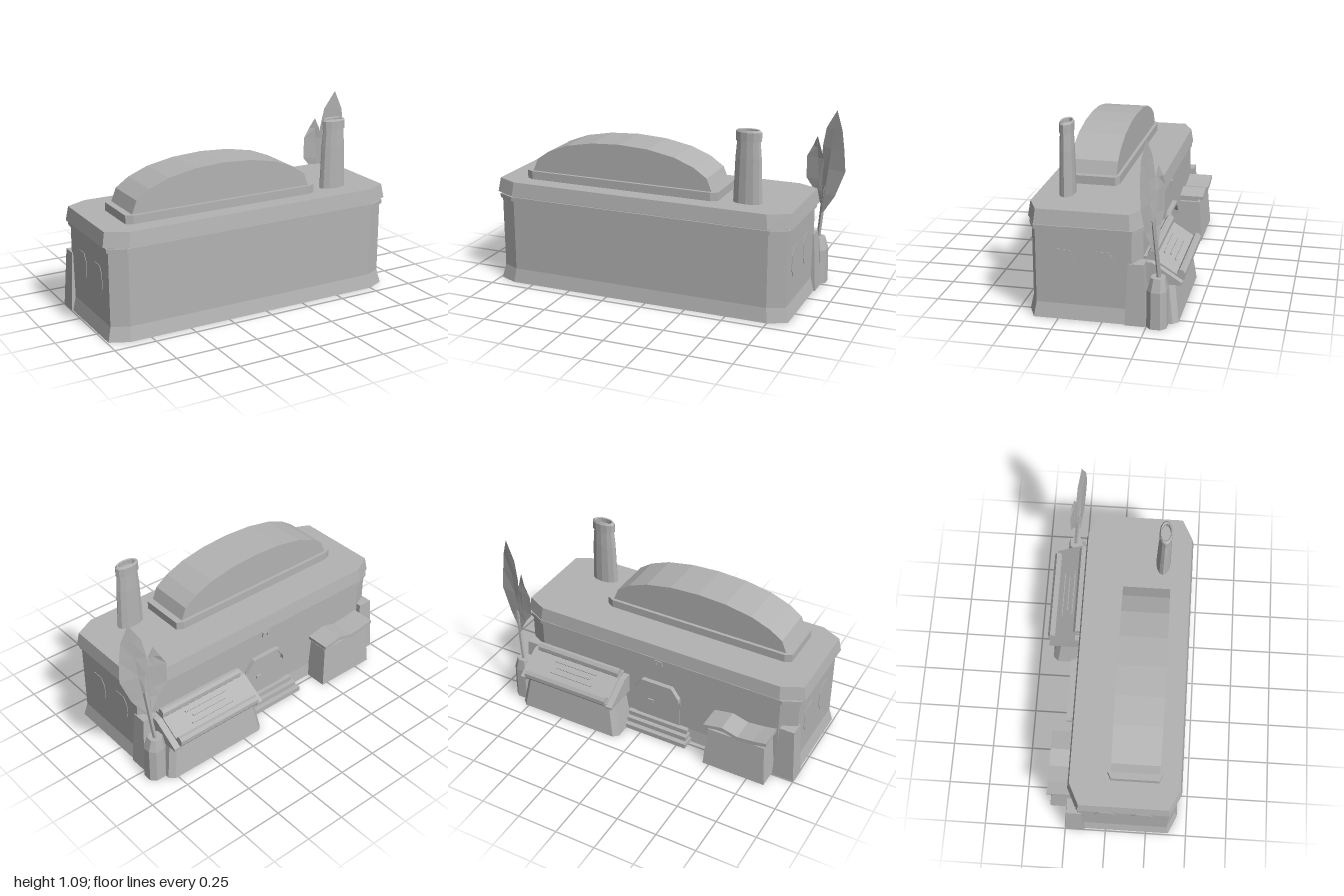
import * as THREE from 'three';

const stone = new THREE.MeshStandardMaterial({ color: 0xb3b3b3, side: THREE.DoubleSide });
stone.name = 'plain grey';

export function createModel() {
  const root = new THREE.Group();
  const add = (name, geometry, parent = root) => {
    const flat = geometry.index ? geometry.toNonIndexed() : geometry;
    flat.computeVertexNormals();
    const mesh = new THREE.Mesh(flat, stone);
    mesh.name = name;
    parent.add(mesh);
    return mesh;
  };
  const group = (name) => {
    const g = new THREE.Group();
    g.name = name;
    root.add(g);
    return g;
  };

  // Horizontal ring with optional cut corners, counter-clockwise from above
  const ring = (x0, x1, y, z0, z1, cx = 0, cz = 0) => {
    const pts = cx
      ? [[x1, z1 - cz], [x1, z0 + cz], [x1 - cx, z0], [x0 + cx, z0],
         [x0, z0 + cz], [x0, z1 - cz], [x0 + cx, z1], [x1 - cx, z1]]
      : [[x1, z1], [x1, z0], [x0, z0], [x0, z1]];
    return pts.map(([x, z]) => [x, y, z]);
  };

  // Skin a stack of rings
  const loft = (rings, capBottom = true, capTop = true) => {
    const v = [];
    const n = rings[0].length;
    for (let r = 0; r < rings.length - 1; r++) {
      for (let i = 0; i < n; i++) {
        const j = (i + 1) % n;
        const a = rings[r][i], b = rings[r][j], c = rings[r + 1][j], d = rings[r + 1][i];
        v.push(...a, ...b, ...c, ...a, ...c, ...d);
      }
    }
    const top = rings[rings.length - 1], bottom = rings[0];
    for (let i = 1; i < n - 1; i++) {
      if (capTop) v.push(...top[0], ...top[i], ...top[i + 1]);
      if (capBottom) v.push(...bottom[0], ...bottom[i + 1], ...bottom[i]);
    }
    const g = new THREE.BufferGeometry();
    g.setAttribute('position', new THREE.Float32BufferAttribute(v, 3));
    return g;
  };

  // Prisms: outline in (x, y) pushed along z, or in (z, y) pushed along x
  const prismZ = (pts, z0, z1) => {
    const shape = new THREE.Shape(pts.map(([x, y]) => new THREE.Vector2(x, y)));
    return new THREE.ExtrudeGeometry(shape, { depth: z1 - z0, bevelEnabled: false }).translate(0, 0, z0);
  };
  const prismX = (pts, x0, x1) =>
    prismZ(pts.map(([z, y]) => [-z, y]), x0, x1).rotateY(Math.PI / 2);
  const box = (x0, x1, y0, y1, z0, z1) =>
    new THREE.BoxGeometry(x1 - x0, y1 - y0, z1 - z0)
      .translate((x0 + x1) / 2, (y0 + y1) / 2, (z0 + z1) / 2);

  // Main body: flared foot open below, raised floor, walls, trim and roof slab
  add('foot', loft([
    ring(-0.99, 0.86, 0, -0.22, 0.44, 0.11, 0.05),
    ring(-0.97, 0.84, 0.085, -0.21, 0.423, 0.1, 0.046),
  ], false, false));
  add('walls', loft([
    ring(-0.97, 0.84, 0.085, -0.21, 0.423, 0.1, 0.046),
    ring(-0.97, 0.84, 0.56, -0.21, 0.423, 0.1, 0.046),
  ]));
  add('wallTrim', loft([0.52, 0.545].map((y) => ring(-0.982, 0.852, y, -0.218, 0.432, 0.1, 0.048))));
  add('roof', loft([
    ring(-1, 0.87, 0.555, -0.226, 0.443, 0.13, 0.066),
    ring(-0.985, 0.855, 0.64, -0.214, 0.43, 0.125, 0.062),
  ]));

  // Arched skylight on its plinth
  add('domePlinth', loft([0.63, 0.69].map((y) => ring(-0.83, 0.4, y, 0.005, 0.325, 0.04, 0.02))));
  const half = [[0.575, 0.69], [0.545, 0.765], [0.465, 0.82], [0.345, 0.867], [0.18, 0.898], [0, 0.908]];
  const arch = [...half, ...half.slice(0, -1).reverse().map(([x, y]) => [-x, y])];
  add('dome', prismZ(arch.map(([x, y]) => [x - 0.215, y]), 0.024, 0.306));

  // Oval chimney with a collar and hollow top
  const chimney = new THREE.LatheGeometry([
    [0.088, 0.63], [0.078, 0.9], [0.069, 1.0], [0.077, 1.0], [0.077, 1.052],
    [0.064, 1.064], [0.055, 1.06], [0.055, 1.03], [0, 1.03],
  ].map(([x, y]) => new THREE.Vector2(x, y)), 12);
  add('chimney', chimney.scale(1, 1, 0.51).translate(0.563, 0, 0.26));

  // Cut-corner windows on both end walls
  for (const [x0, x1] of [[0.838, 0.843], [-0.973, -0.968]]) {
    for (const z of [0.22, -0.003]) {
      const outline = [[0.064, 0.045], [0.064, -0.045], [0.035, -0.09], [-0.035, -0.09],
        [-0.064, -0.045], [-0.064, 0.045], [-0.035, 0.09], [0.035, 0.09]];
      add('endWindow', prismX(outline.map(([a, b]) => [z + a, 0.32 + b]), x0, x1));
    }
  }

  // Buttresses at the rear corners
  for (const s of [-1, 1]) {
    const x = s * 0.867 - 0.065;
    add('cornerButtress', loft([
      ring(x - 0.068, x + 0.068, 0, -0.246, -0.13),
      ring(x - 0.045, x + 0.045, 0.355, -0.232, -0.144),
    ]));
  }

  // Rear door with hood, handle, lamp and steps
  const door = group('rearDoor');
  add('doorPanel', prismZ([[-0.23, 0.09], [0.07, 0.09], [0.07, 0.3], [0.02, 0.37], [-0.18, 0.37], [-0.23, 0.3]],
    -0.216, -0.208), door);
  add('doorHood', prismZ([
    [0.07, 0.3], [0.02, 0.37], [-0.18, 0.37], [-0.23, 0.3], [-0.23, 0.27],
    [-0.215, 0.27], [-0.215, 0.295], [-0.173, 0.35], [0.013, 0.35], [0.055, 0.295],
  ], -0.238, -0.208), door);
  add('doorHandle', box(-0.05, -0.015, 0.205, 0.222, -0.224, -0.21), door);
  add('lampBar', box(-0.11, -0.06, 0.52, 0.535, -0.224, -0.2), door);
  for (const x of [-0.11, -0.07]) add('lampHook', box(x, x + 0.01, 0.5, 0.53, -0.222, -0.2), door);
  add('upperStep', box(-0.29, 0.12, 0, 0.09, -0.24, -0.2));
  add('middleStep', box(-0.3, 0.12, 0, 0.06, -0.268, -0.2));
  add('lowerStep', box(-0.31, 0.12, 0, 0.03, -0.298, -0.2));

  // Sloping display stand with rolled ends
  const stand = group('displayStand');
  add('standBase', loft([
    ring(0.1, 0.8, 0, -0.415, -0.2, 0.03, 0.03),
    ring(0.14, 0.76, 0.228, -0.385, -0.2, 0.03, 0.03),
  ]), stand);
  const wedge = [[-0.2, 0.225], [-0.43, 0.225], [-0.43, 0.24], [-0.265, 0.345], [-0.2, 0.35]];
  for (const x of [0.122, 0.735]) add('standSide', prismX(wedge, x, x + 0.045), stand);
  add('standBoard', prismX([[-0.2, 0.228], [-0.415, 0.228], [-0.425, 0.255], [-0.25, 0.365], [-0.2, 0.365]],
    0.16, 0.74), stand);
  for (const [y, z] of [[0.37, -0.255], [0.268, -0.419]]) {
    const roller = new THREE.CylinderGeometry(0.034, 0.034, 0.575, 8);
    add('roller', roller.rotateY(Math.PI / 8).rotateZ(Math.PI / 2).scale(1, 1, 0.72).translate(0.4525, y, z), stand);
  }
  [0.3, 0.24, 0.3].forEach((length, i) => {
    const slat = box(-length / 2, length / 2, -0.003, 0.005, -0.005, 0.005).rotateX(-0.56);
    add('slat', slat.translate(0.45, 0.337 - i * 0.02, -0.301 - i * 0.032), stand);
  });

  // Rear crate with a wavy lid
  add('crate', loft([
    ring(-0.86, -0.46, 0, -0.355, -0.19),
    ring(-0.84, -0.48, 0.26, -0.335, -0.19),
  ]));
  add('crateLid', prismZ([
    [-0.86, 0.3], [-0.78, 0.285], [-0.68, 0.275], [-0.58, 0.305], [-0.46, 0.285],
    [-0.46, 0.305], [-0.58, 0.328], [-0.68, 0.3], [-0.78, 0.31], [-0.86, 0.325],
  ], -0.36, -0.2));
  add('lidSupport', box(-0.82, -0.5, 0.25, 0.285, -0.32, -0.2));

  // Plant pot, stem and two folded leaves
  add('plantPot', loft([
    ring(0.77, 0.893, 0, -0.362, -0.25, 0.03, 0.028),
    ring(0.77, 0.89, 0.215, -0.36, -0.252, 0.03, 0.028),
    ring(0.787, 0.868, 0.288, -0.348, -0.27, 0.02, 0.02),
  ]));
  const stem = new THREE.CatmullRomCurve3([
    [0.828, 0.27, -0.315], [0.845, 0.42, -0.305], [0.862, 0.62, -0.288],
  ].map((p) => new THREE.Vector3(...p)));
  add('stem', new THREE.TubeGeometry(stem, 4, 0.013, 5));

  // Each leaf row is [y, left x, left z, rib x, rib z, right x, right z]
  const leaf = (rows) => {
    const v = [];
    for (let i = 0; i < rows.length - 1; i++) {
      for (const k of [1, 3]) {
        const at = (r, c) => [r[c], r[0], r[c + 1]];
        const a = at(rows[i], k), b = at(rows[i], k + 2), c = at(rows[i + 1], k + 2), d = at(rows[i + 1], k);
        v.push(...a, ...b, ...c, ...a, ...c, ...d);
      }
    }
    const g = new THREE.BufferGeometry();
    g.setAttribute('position', new THREE.Float32BufferAttribute(v, 3));
    return g;
  };
  add('tallLeaf', leaf([
    [0.45, 0.845, -0.292, 0.85, -0.285, 0.86, -0.28],
    [0.57, 0.84, -0.3, 0.865, -0.275, 0.935, -0.258],
    [0.73, 0.84, -0.296, 0.885, -0.27, 0.995, -0.245],
    [0.86, 0.84, -0.292, 0.9, -0.265, 0.985, -0.238],
    [0.98, 0.862, -0.282, 0.915, -0.262, 0.968, -0.24],
    [1.092, 0.926, -0.26, 0.927, -0.26, 0.928, -0.26],
  ]));
  add('shortLeaf', leaf([
    [0.48, 0.842, -0.312, 0.85, -0.302, 0.855, -0.298],
    [0.58, 0.79, -0.316, 0.835, -0.3, 0.86, -0.295],
    [0.65, 0.737, -0.325, 0.82, -0.302, 0.865, -0.29],
    [0.785, 0.737, -0.326, 0.81, -0.304, 0.85, -0.288],
    [0.85, 0.772, -0.322, 0.806, -0.302, 0.83, -0.288],
    [0.915, 0.803, -0.302, 0.804, -0.302, 0.805, -0.302],
  ]));
  return root;
}
